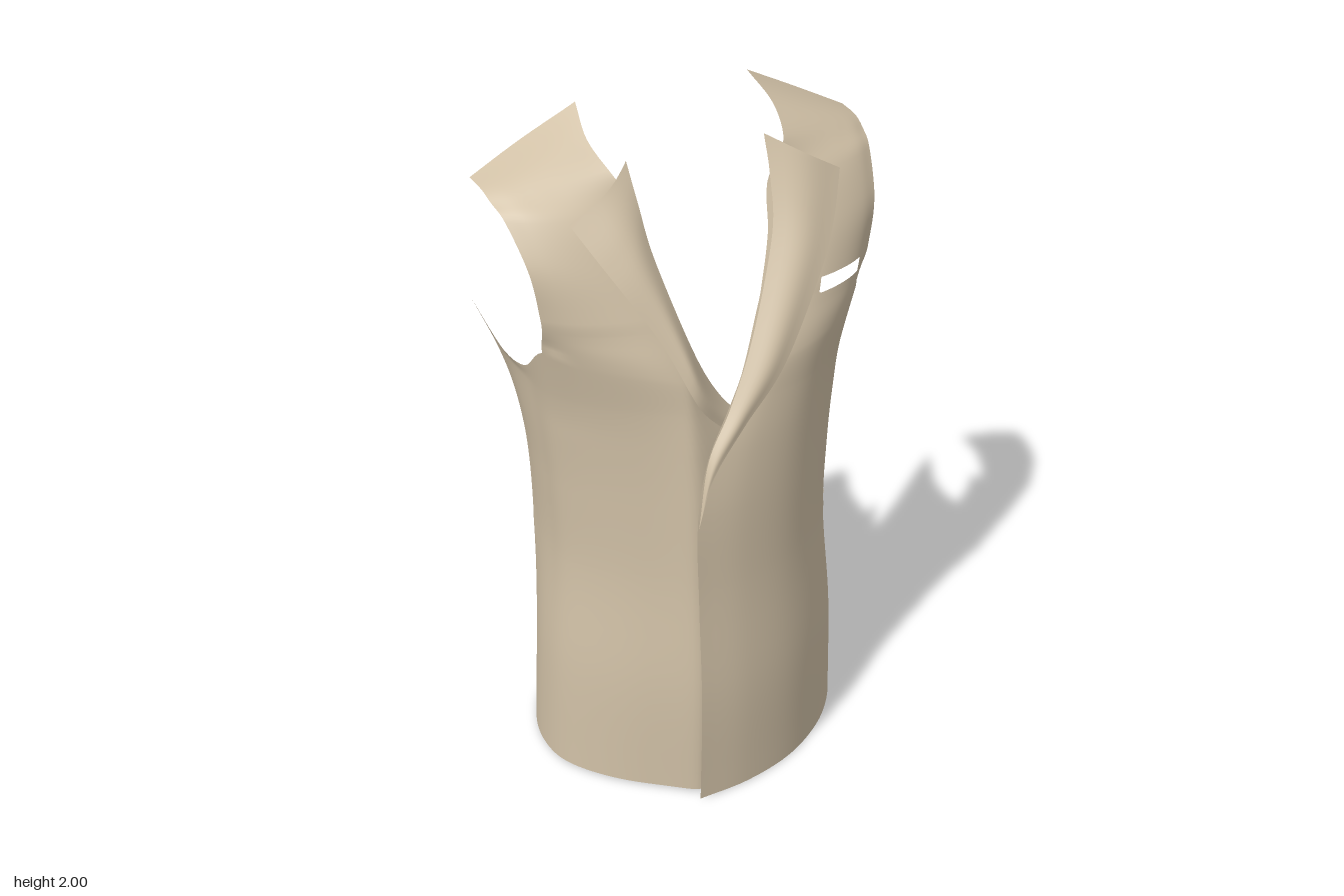
import * as THREE from 'three';

const fabric = new THREE.MeshStandardMaterial({ color: 0xd0c0a6, side: THREE.DoubleSide });
fabric.name = 'beigeFabric';

const { lerp, smoothstep } = THREE.MathUtils;

// One section of a half body. edge and side are [x, z] of the front edge and of the side
// (or armhole), bulge puffs the chest; back is [x, z] of the back edge, round swells the
// stretch before it, dip lowers that stretch under the arm.
function section(y, edge, side, { sideY = y, bulge = 0, back, round = 0, dip = 0 }) {
  const pts = [];
  for (let c = 0; c <= 5; c++) {
    const spread = lerp(.14, .075, smoothstep(y, 1, 1.5));
    const f = c / 5 + spread * Math.sin(Math.PI * (c / 5) ** 1.3);
    const fall = Math.max(0, 1 - f ** 2.5) ** .8;
    pts.push([lerp(edge[0], side[0], f), lerp(y, sideY, f), lerp(side[1], edge[1], fall) + bulge * Math.sin(Math.PI * f)]);
  }
  if (back) {
    for (let c = 1; c <= 3; c++) {
      const f = c / 3, swell = Math.sin(Math.PI * f);
      pts.push([lerp(side[0], back[0], f) + round * swell, lerp(sideY, y + .055 * Math.sign(dip), f) - dip * swell, lerp(side[1], back[1], f)]);
    }
  }
  // vent extension below the waist
  if (y < .7) pts.push([.255 + .094 * y, y, -.4 + .116 * y]);
  return { key: y, pts };
}

const sections = [
  section(0, [-.175, .395], [.46, .05], { back: [.39, -.28], round: .042 }),
  section(.35, [-.175, .403], [.448, .05], { back: [.385, -.265], round: .036 }),
  section(.69, [-.175, .383], [.422, .04], { back: [.395, -.25], round: .02 }),
  section(.95, [-.173, .372], [.43, .04], { back: [.41, -.24], round: .017 }),
  section(1.12, [-.13, .348], [.445, .04], { back: [.43, -.265], round: .015, bulge: .004 }),
  section(1.25, [-.05, .318], [.46, .045], { back: [.46, -.31], round: .008, bulge: .008 }),
  // underarm edge
  section(1.33, [0, .295], [.487, .075], { sideY: 1.41, back: [.51, -.36], round: -.018, dip: .115, bulge: .012 }),
  // chest pocket opening lies between these two
  section(1.485, [.075, .24], [.497, .105], { bulge: .016 }),
  section(1.525, [.095, .223], [.503, .112], { bulge: .016 }),
  section(1.66, [.15, .16], [.525, .1], { bulge: .014 }),
  section(1.78, [.18, .1], [.552, .02], { bulge: .01 }),
  // shoulder
  section(1.87, [.25, .06], [.565, -.04], { sideY: 1.815, bulge: -.02 }),
  section(1.935, [.277, -.045], [.57, -.09], { sideY: 1.835 }),
  section(2, [.255, -.155], [.572, -.162], { sideY: 1.842, bulge: -.014 }),
];
const VENT = 2, ARMHOLE = 6, POCKET = 7;
const lastColumn = (r) => (r <= VENT ? 9 : r <= ARMHOLE ? 8 : 5);

// smooth curve through points at uneven keys
function spline(keys, pts, t) {
  const n = pts.length - 1;
  t = Math.min(Math.max(t, keys[0]), keys[n]);
  let i = 0;
  while (i < n - 1 && t > keys[i + 1]) i++;
  const h = keys[i + 1] - keys[i], s = (t - keys[i]) / h;
  const slope = (j, k) => {
    const a = Math.max(j - 1, 0), b = Math.min(j + 1, n);
    return (pts[b][k] - pts[a][k]) / (keys[b] - keys[a]);
  };
  return [0, 1, 2].map((k) =>
    (2 * s ** 3 - 3 * s * s + 1) * pts[i][k] + (s ** 3 - 2 * s * s + s) * h * slope(i, k) +
    (3 * s * s - 2 * s ** 3) * pts[i + 1][k] + (s ** 3 - s * s) * h * slope(i + 1, k));
}

// point on a lofted surface: u counts columns, r counts sections
function surface(rows, u, r, last) {
  const i = Math.min(Math.floor(r), rows.length - 2);
  const key = lerp(rows[i].key, rows[i + 1].key, r - i);
  const across = [];
  for (let c = 0; c <= last; c++) {
    const have = rows.filter((row) => row.pts.length > c);
    across.push(spline(have.map((row) => row.key), have.map((row) => row.pts[c]), key));
  }
  return spline(across.map((_, c) => c), across, u);
}

const body = (u, r) => surface(sections, u, r, lastColumn(r));

// right panel: mirrored, with its front tucked under the left one
function toRight([x, y, z]) {
  const tuck = smoothstep(.1 - x, 0, .275);
  return [-x - .1 * Math.exp(-((x / .17) ** 2)), y + .008 * Math.max(0, 1 - y), z - .085 * tuck];
}
const same = (p) => p;

// grid of points; keep(u, r) tells which cells hold cloth
function sheet(name, point, [u0, u1, nu], [r0, r1, nr], place, keep = () => true) {
  const pos = [], index = [];
  for (let j = 0; j <= nr; j++)
    for (let i = 0; i <= nu; i++) pos.push(...place(point(lerp(u0, u1, i / nu), lerp(r0, r1, j / nr))));
  for (let j = 0; j < nr; j++)
    for (let i = 0; i < nu; i++) {
      if (!keep(lerp(u0, u1, (i + .5) / nu), lerp(r0, r1, (j + .5) / nr))) continue;
      const a = j * (nu + 1) + i, b = a + 1, c = a + nu + 1, d = c + 1;
      if (place === same) index.push(a, b, d, a, d, c);
      else index.push(a, d, b, a, c, d);
    }
  const g = new THREE.BufferGeometry();
  g.setAttribute('position', new THREE.Float32BufferAttribute(pos, 3));
  g.setIndex(index);
  g.computeVertexNormals();
  const mesh = new THREE.Mesh(g, fabric);
  mesh.name = name;
  return mesh;
}

// lapel from its lower end to the top: fold edge and outer edge
const lapelRows = [
  [[-.172, .94, .378], [-.176, .93, .382]],
  [[-.132, 1.12, .355], [-.127, 1.075, .375]],
  [[-.05, 1.25, .325], [-.02, 1.2, .352]],
  [[.04, 1.42, .28], [.115, 1.34, .325]],
  [[.155, 1.66, .175], [.27, 1.55, .243]],
  [[.182, 1.8, .11], [.345, 1.665, .18]],
  [[.192, 1.9, .055], [.408, 1.775, .1]],
].map(([fold, outer], i) => {
  const mid = fold.map((v, k) => (v + outer[k]) / 2);
  mid[2] += .022 * Math.min(1, i / 3);
  return { key: i, pts: [fold, mid, outer] };
});

// narrow welt lying just outside the body; drop lowers it toward the back
const welt = (u0, u1, rise, drop) => (u, t) => {
  const r = VENT + rise - drop * ((u - u0) / (u1 - u0)) + t * .035;
  const [x, y, z] = surface(sections, u, r, 8);
  const len = Math.hypot(x, z);
  return [x + (x / len) * .004, y, z + (z / len) * .004];
};

export function createModel() {
  const model = new THREE.Group();
  model.name = 'tailoredJacketFront';
  for (const side of ['left', 'right']) {
    const place = side === 'left' ? same : toRight;
    const isPocket = (u, r) => side === 'left' && r > POCKET && r < POCKET + 1 && u > 2 && u < 4;
    const half = new THREE.Group();
    half.name = side + 'Half';
    half.add(
      sheet(side + 'Panel', body, [0, 9, 54], [0, 13, 78], place,
        (u, r) => u < lastColumn(r) && !isPocket(u, r)),
      sheet(side + 'Lapel', (u, r) => surface(lapelRows, u, r, 2), [0, 2, 10], [0, 6, 48], place),
      sheet(side + 'PocketWelt', welt(3, 6.5, .16, .14), [3, 6.5, 24], [0, 1, 1], place),
    );
    model.add(half);
  }
  // buttonhole
  model.add(sheet('buttonhole', welt(.35, .65, .06, 0), [.35, .65, 4], [0, 1, 1], same));
  return model;
}
